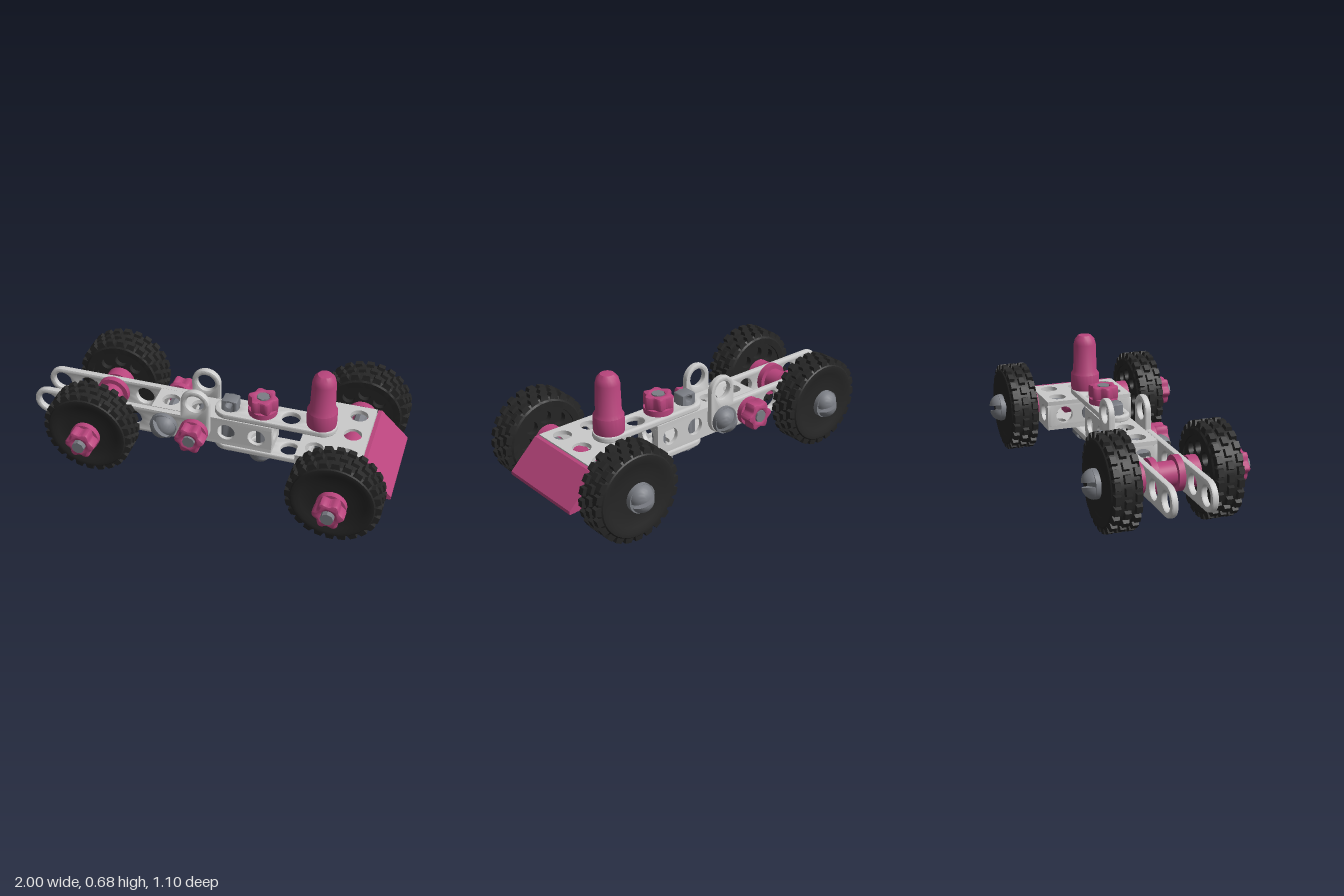
import * as THREE from 'three';
import { mergeGeometries, toCreasedNormals } from 'three/addons/utils/BufferGeometryUtils.js';

const mat = (color) => new THREE.MeshStandardMaterial({ color, side: THREE.DoubleSide });
const PITCH = 0.166, MID = -0.04; // hole spacing, z of the vehicle's centre line
const UP = new THREE.Vector3(0, 1, 0);

export function createModel() {
  const model = new THREE.Group();
  const pink = mat(0xb8447c), black = mat(0x262626), steel = mat(0x7b7e85), white = mat(0xdcdcd8);

  const add = (name, geo, material, x = 0, y = 0, z = 0, parent = model) => {
    const mesh = new THREE.Mesh(toCreasedNormals(geo, 0.6), material);
    mesh.name = name;
    mesh.position.set(x, y, z);
    parent.add(mesh);
    return mesh;
  };
  const lathe = (pts, n = 32) => new THREE.LatheGeometry(pts.map((p) => new THREE.Vector2(...p)), n);
  // Extrusion centred on its thickness
  const slab = (shape, t, bevel = 0) => {
    const depth = t - 2 * bevel;
    return new THREE.ExtrudeGeometry(shape, {
      depth, curveSegments: 10, bevelEnabled: bevel > 0, bevelThickness: bevel,
      bevelSize: bevel, bevelOffset: -bevel, bevelSegments: 2,
    }).translate(0, 0, -depth / 2);
  };
  const punch = (shape, x, y, r = 0.048) => shape.holes.push(new THREE.Path().absarc(x, y, r, 0, Math.PI * 2, true));

  // Rectangular plate with a grid of round holes, r = corner radius
  const plateShape = (w, h, nx, ny, r = 0.003, hole = 0.048) => {
    const s = new THREE.Shape(), a = w / 2 - r, b = h / 2 - r;
    s.absarc(a, -b, r, -Math.PI / 2, 0);
    s.absarc(a, b, r, 0, Math.PI / 2);
    s.absarc(-a, b, r, Math.PI / 2, Math.PI);
    s.absarc(-a, -b, r, Math.PI, Math.PI * 1.5);
    for (let i = 0; i < nx; i++) for (let j = 0; j < ny; j++)
      punch(s, (i - (nx - 1) / 2) * w / nx, (j - (ny - 1) / 2) * h / ny, hole);
    return s;
  };

  // Hollow perforated beam, sized in whole hole spacings
  const beam = (name, nx, ny, nz, x, y, z) => {
    const t = 0.022, [w, h, d] = [nx, ny, nz].map((n) => n * PITCH), walls = [];
    for (const s of [-1, 1]) {
      walls.push(slab(plateShape(w, d, nx, nz), t).rotateX(Math.PI / 2).translate(0, s * (h - t) / 2, 0));
      walls.push(slab(plateShape(w, h - 2 * t, nx, ny), t).translate(0, 0, s * (d - t) / 2));
      walls.push(slab(plateShape(d - 2 * t, h - 2 * t, nz, ny), t).rotateY(Math.PI / 2).translate(s * (w - t) / 2, 0, 0));
    }
    add(name, mergeGeometries(walls), white, x, y, z);
  };
  beam('centreBeam', 4, 1, 1, 0, 0.26, MID);
  beam('crossBeam', 2, 1, 3, 0.66, 0.255, MID);

  // Flat strips joining the two beams above and below
  for (const [name, y] of [['topStrip', 0.358], ['bottomStrip', 0.15]])
    add(name, slab(plateShape(0.66, 0.16, 4, 1, 0.078), 0.034, 0.01).rotateX(Math.PI / 2), white, 0.33, y, MID);

  // Upturned side strips
  const side = new THREE.Shape();
  side.moveTo(-0.92, 0.185);
  side.lineTo(-0.08, 0.185);
  side.absarc(-0.08, 0.265, 0.08, -Math.PI / 2, 0);
  side.absarc(-0.08, 0.43, 0.08, 0, Math.PI);
  side.lineTo(-0.16, 0.345);
  side.lineTo(-0.92, 0.345);
  side.absarc(-0.92, 0.265, 0.08, Math.PI / 2, Math.PI * 1.5);
  for (const x of [-0.92, -0.765, -0.61, -0.43, -0.25, -0.08]) punch(side, x, 0.265, 0.05);
  punch(side, -0.08, 0.43, 0.05);
  for (const [name, z] of [['leftSideStrip', 0.06], ['rightSideStrip', -0.14]])
    add(name, slab(side, 0.036, 0.01), white, 0, 0, z);

  // Slotted dome bolt: head base at `pos`, head pointing along `dir`, shaft running the other way
  const bolt = (name, pos, dir, length, turn = 0) => {
    const g = new THREE.Group();
    g.name = name;
    g.position.set(...pos);
    g.quaternion.setFromUnitVectors(UP, new THREE.Vector3(...dir));
    const head = new THREE.Group();
    head.rotation.y = turn;
    g.add(head);
    for (const s of [0, 1]) {
      const half = mergeGeometries([
        new THREE.SphereGeometry(0.064, 14, 8, 0, Math.PI, 0, Math.PI / 2),
        new THREE.CircleGeometry(0.064, 16, 0, Math.PI),
      ]).translate(0, 0, 0.012).rotateY(s * Math.PI);
      add('headHalf', half, steel, 0, 0.01, 0, head);
    }
    add('headBase', new THREE.CylinderGeometry(0.074, 0.074, 0.025, 24), steel, 0, 0.0125, 0, head);
    add('shaft', new THREE.CylinderGeometry(0.034, 0.034, length, 8), steel, 0, -length / 2, 0, g);
    model.add(g);
  };

  // Six-lobed nut with a round collar, base at `pos`
  const nut = (name, pos, dir) => {
    const g = new THREE.Group();
    g.name = name;
    g.position.set(...pos);
    g.quaternion.setFromUnitVectors(UP, new THREE.Vector3(...dir));
    const s = new THREE.Shape();
    for (let i = 0; i < 48; i++) {
      const a = (i / 48) * Math.PI * 2, r = 0.073 + 0.009 * Math.cos(6 * a);
      s[i ? 'lineTo' : 'moveTo'](r * Math.cos(a), r * Math.sin(a));
    }
    punch(s, 0, 0, 0.034);
    add('lobes', slab(s, 0.075, 0.012).rotateX(Math.PI / 2), pink, 0, 0.063, 0, g);
    add('collar', lathe([[0.034, 0], [0.078, 0], [0.078, 0.03], [0.034, 0.035]], 24), pink, 0, 0, 0, g);
    model.add(g);
  };

  // Tyre: dished lathe body, perforated inner web and three rows of lugs; local +y is the outside
  const parts = [lathe([[0.03, -0.02], [0.165, -0.02], [0.17, -0.078], [0.205, -0.08], [0.226, -0.062],
    [0.226, 0.062], [0.21, 0.078], [0.19, 0.08], [0.165, 0.07], [0.1, 0.062], [0.03, 0.062]], 48).toNonIndexed()];
  const web = new THREE.Shape().absarc(0, 0, 0.17, 0, Math.PI * 2);
  punch(web, 0, 0, 0.036);
  for (let i = 0; i < 8; i++) punch(web, 0.118 * Math.cos(i * Math.PI / 4), 0.118 * Math.sin(i * Math.PI / 4), 0.034);
  parts.push(slab(web, 0.03).rotateX(Math.PI / 2).translate(0, -0.055, 0));
  const LUGS = 24;
  for (let row = -1; row <= 1; row++) for (let i = 0; i < LUGS; i++) {
    const lug = new THREE.CylinderGeometry(0.023, 0.032, 0.036, 4, 1).rotateY(Math.PI / 4).scale(0.9, 1, 1.1);
    lug.rotateZ(-Math.PI / 2).translate(0.226, 0, 0).rotateX(0).translate(0, row * 0.053, 0);
    parts.push(lug.rotateY((i + (row ? 0 : 0.5)) * Math.PI * 2 / LUGS).toNonIndexed());
  }
  const wheelGeo = mergeGeometries(parts);
  const wheel = (name, x, y, z) => {
    add(name, wheelGeo, black, x, y, z).rotation.x = z > MID ? Math.PI / 2 : -Math.PI / 2;
  };
  const spacer = (name, x, y, z0, z1, r, waist = r) => {
    const h = (z1 - z0) / 2, f = h * 0.6;
    add(name, lathe([[0.034, -h], [r, -h], [r, -f], [waist, -f], [waist, f], [r, f], [r, h], [0.034, h]])
      .rotateX(Math.PI / 2), pink, x, y, (z0 + z1) / 2);
  };

  // Axles: bolt, two wheels, spacers, spool and nut
  for (const [end, x, y, zBack, zFront, frameBack, frameFront] of [
    ['narrow', -0.61, 0.27, -0.305, 0.21, -0.16, 0.078],
    ['wide', 0.74, 0.26, -0.41, 0.345, -0.29, 0.21]]) {
    wheel(end + 'RightWheel', x, y, zBack);
    wheel(end + 'LeftWheel', x, y, zFront);
    spacer(end + 'RightSpacer', x, y, zBack + 0.08, frameBack, 0.08);
    spacer(end + 'LeftSpacer', x, y, frameFront, zFront - 0.08, 0.08);
    spacer(end + 'Spool', x, y, -0.122, 0.042, end === 'narrow' ? 0.09 : 0.072, 0.064);
    bolt(end + 'Axle', [x, y, zBack - 0.076], [0, 0, -1], zFront - zBack + 0.275, 0.3);
    nut(end + 'AxleNut', [x, y, zFront + 0.08], [0, 0, 1]);
  }

  // Fasteners through the side strips and the beam
  bolt('rearFacingBolt', [-0.08, 0.265, -0.16], [0, 0, -1], 0.35, 0.7);
  nut('rearFacingBoltNut', [-0.08, 0.265, 0.085], [0, 0, 1]);
  bolt('frontFacingBolt', [-0.25, 0.265, 0.078], [0, 0, 1], 0.35, -0.8);
  nut('frontFacingBoltNut', [-0.25, 0.265, -0.17], [0, 0, -1]);
  bolt('uprightBolt', [0.26, 0.135, MID], [0, -1, 0], 0.345, 0.4);
  nut('uprightBoltNut', [0.26, 0.38, MID], [0, 1, 0]);
  bolt('postBolt', [0.58, 0.135, MID], [0, -1, 0], 0.28, 1.2);

  // Upright clip pin with eyelets
  const pin = plateShape(0.085, 0.33, 0, 0, 0.008);
  for (const s of [-1, 1]) punch(pin, 0, s * 0.14, 0.02);
  add('clipPin', slab(pin, 0.075, 0.006), steel, 0.085, 0.266, MID);

  // Driver post
  add('post', lathe([[0, 0.375], [0.078, 0.375], [0.08, 0.39], [0.08, 0.465], [0.067, 0.485], [0.063, 0.635],
    [0.055, 0.665], [0.036, 0.686], [0, 0.694]], 24), pink, 0.575, 0, MID);

  // Sloping bumper: slanted face, side cheeks and perforated floor
  const poly = (pts) => new THREE.Shape(pts.map((p) => new THREE.Vector2(...p)));
  add('bumperSlope', slab(poly([[0.83, 0.335], [0.83, 0.3], [0.965, 0.172], [1, 0.172], [1, 0.19], [0.85, 0.335]]), 0.5), pink, 0, 0, MID);
  for (const s of [-1, 1])
    add('bumperCheek', slab(poly([[0.83, 0.33], [0.83, 0.172], [0.99, 0.172]]), 0.02), pink, 0, 0, MID + s * 0.238);
  add('bumperFloor', slab(plateShape(0.16, 0.5, 1, 3, 0.003, 0.045), 0.02).rotateX(Math.PI / 2), pink, 0.912, 0.184, MID);

  return model;
}
